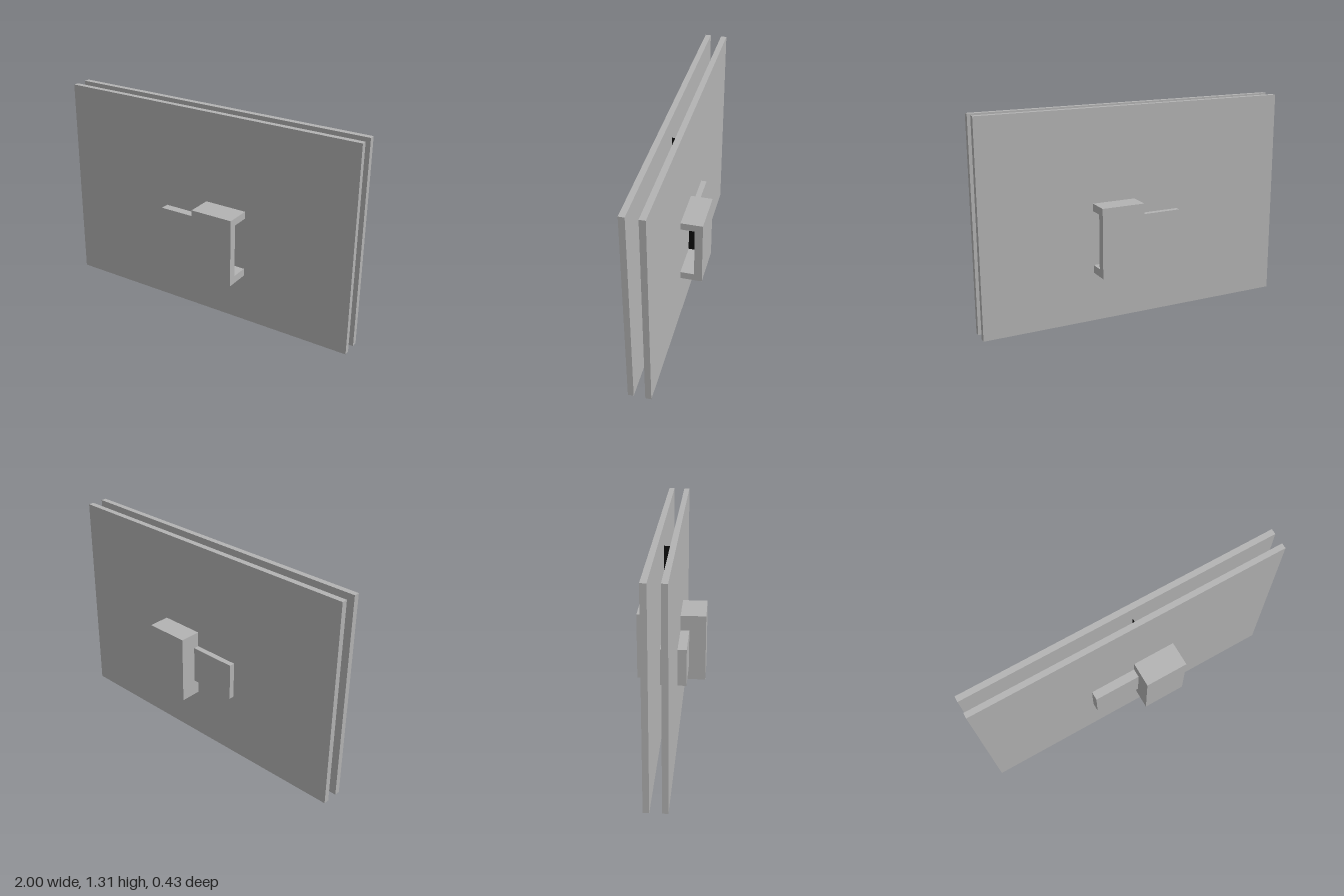
import * as THREE from 'three';

export function createModel() {
  const model = new THREE.Group();
  const grey = new THREE.MeshStandardMaterial({ color: 0xb3b3b3 });
  grey.name = 'grey';
  const black = new THREE.MeshStandardMaterial({ color: 0x0d0d0d });
  black.name = 'black';

  // Box given by its limits on each axis
  function block(name, material, [x0, x1], [y0, y1], [z0, z1]) {
    const mesh = new THREE.Mesh(new THREE.BoxGeometry(x1 - x0, y1 - y0, z1 - z0), material);
    mesh.position.set((x0 + x1) / 2, (y0 + y1) / 2, (z0 + z1) / 2);
    mesh.name = name;
    model.add(mesh);
  }

  // Two parallel sheets
  block('frontPanel', grey, [-1, 1], [0, 1.312], [0.023, 0.058]);
  block('backPanel', grey, [-1, 1], [0, 1.312], [-0.082, -0.046]);

  // Housing: a rectangular frame extruded along x, open towards +x
  const outline = new THREE.Shape();
  outline.moveTo(-0.217, 0.31).lineTo(0.217, 0.31).lineTo(0.217, 0.742).lineTo(-0.217, 0.742).closePath();
  const opening = new THREE.Path();
  opening.moveTo(-0.168, 0.358).lineTo(-0.168, 0.696).lineTo(0.168, 0.696).lineTo(0.168, 0.358).closePath();
  outline.holes.push(opening);
  const frame = new THREE.Mesh(
    new THREE.ExtrudeGeometry(outline, { depth: 0.275, bevelEnabled: false }), grey);
  frame.rotation.y = Math.PI / 2;
  frame.position.x = 0.02;
  frame.name = 'housingFrame';
  model.add(frame);

  // Closed end of the housing and its dark lining
  block('housingEnd', grey, [0.02, 0.065], [0.358, 0.696], [-0.168, 0.168]);
  block('housingLining', black, [0.065, 0.07], [0.358, 0.696], [-0.168, 0.168]);

  // Solid block behind the housing
  block('rearBlock', grey, [-0.278, 0.02], [0.41, 0.645], [-0.117, 0.113]);

  // Thin dark strip standing between the sheets
  block('innerStrip', black, [0.064, 0.068], [0.025, 1.175], [-0.046, 0.023]);

  return model;
}
